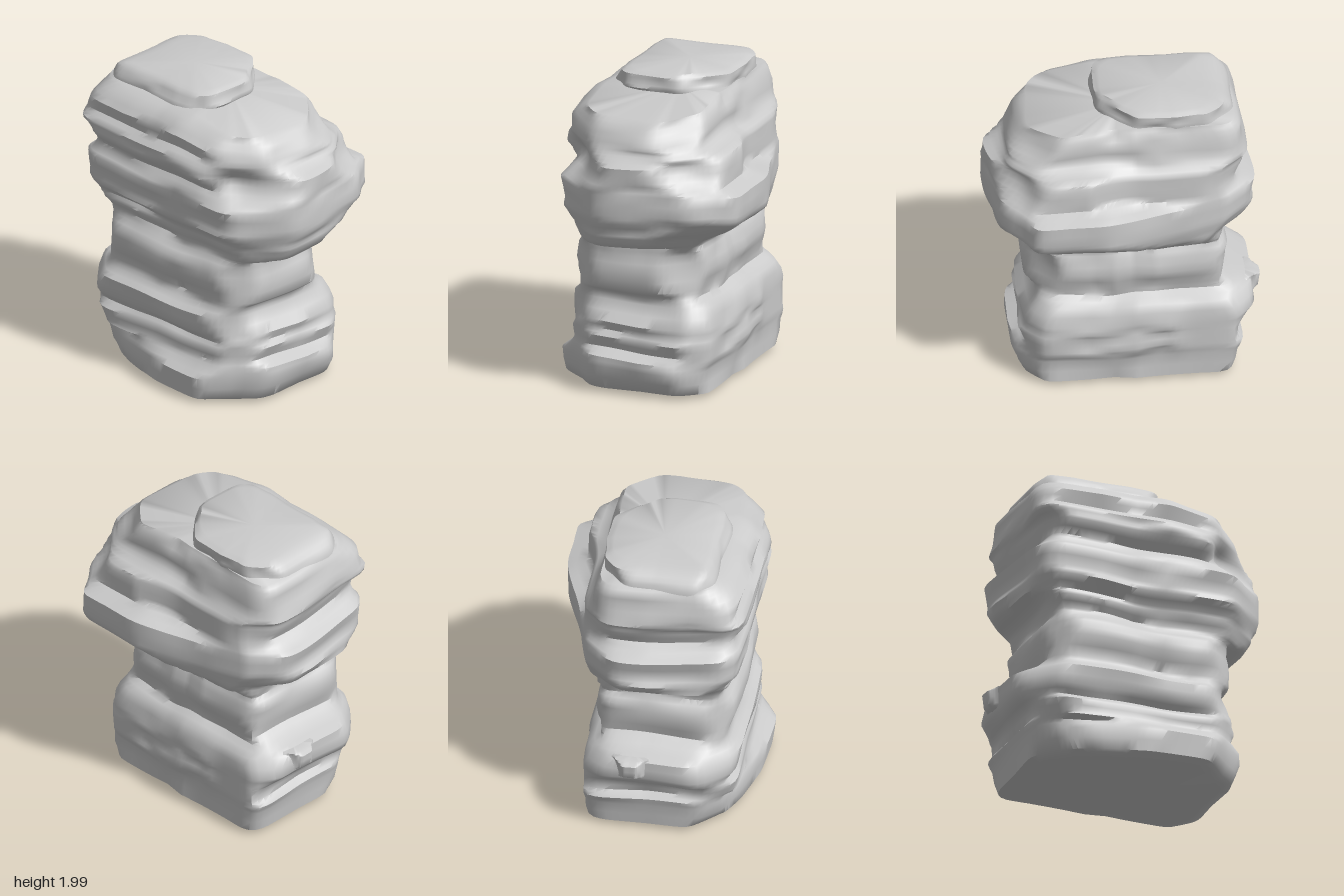
import * as THREE from 'three';
import { toCreasedNormals } from 'three/addons/utils/BufferGeometryUtils.js';

const SEG = 108, CELLS = 18;
const rnd = (k) => { const s = Math.sin(k * 12.9898 + 4.1) * 43758.5453; return s - Math.floor(s); };
const smooth = THREE.MathUtils.smoothstep;

// Strata outline: height, then reach towards -x, +x, -z, +z
const strata = [
  [0.01, 0.56, 0.52, 0.32, 0.52], [0.04, 0.70, 0.64, 0.40, 0.63], [0.19, 0.72, 0.71, 0.40, 0.66],
  [0.25, 0.75, 0.70, 0.42, 0.57], [0.29, 0.72, 0.63, 0.43, 0.55], [0.37, 0.74, 0.66, 0.43, 0.56],
  [0.41, 0.80, 0.63, 0.43, 0.52], [0.47, 0.84, 0.64, 0.43, 0.56], [0.59, 0.82, 0.56, 0.39, 0.57],
  [0.64, 0.70, 0.55, 0.31, 0.51], [0.69, 0.64, 0.61, 0.32, 0.49], [0.82, 0.67, 0.64, 0.36, 0.54],
  [0.92, 0.67, 0.60, 0.33, 0.54], [0.98, 0.62, 0.60, 0.31, 0.48], [1.02, 0.63, 0.76, 0.34, 0.47],
  [1.09, 0.66, 0.80, 0.46, 0.51], [1.13, 0.80, 0.82, 0.55, 0.51], [1.20, 0.83, 0.87, 0.63, 0.58],
  [1.26, 0.82, 0.88, 0.65, 0.57], [1.39, 0.84, 0.87, 0.66, 0.60], [1.43, 0.77, 0.87, 0.53, 0.57],
  [1.48, 0.73, 0.88, 0.52, 0.55], [1.57, 0.77, 0.87, 0.52, 0.63], [1.61, 0.78, 0.77, 0.51, 0.63],
  [1.65, 0.78, 0.73, 0.39, 0.62], [1.70, 0.77, 0.71, 0.36, 0.57], [1.79, 0.75, 0.69, 0.35, 0.59],
  [1.86, 0.74, 0.66, 0.33, 0.52], [1.90, 0.71, 0.58, 0.31, 0.44],
];
// Corner cuts: height, then reach towards (+x+z), (-x+z), (-x-z), (+x-z)
const corners = [
  [0.01, 0.63, 0.58, 0.64, 0.54], [0.05, 0.72, 0.72, 0.77, 0.66], [0.20, 0.74, 0.76, 0.79, 0.67],
  [0.50, 0.70, 0.84, 0.79, 0.66], [0.66, 0.69, 0.75, 0.68, 0.54], [0.92, 0.69, 0.74, 0.66, 0.52],
  [1.07, 0.74, 0.76, 0.64, 0.65], [1.22, 0.81, 0.94, 0.74, 0.90], [1.39, 0.81, 0.94, 0.74, 0.89],
  [1.50, 0.74, 0.87, 0.71, 0.74], [1.62, 0.73, 0.94, 0.73, 0.70], [1.80, 0.72, 0.88, 0.73, 0.55],
  [1.90, 0.65, 0.75, 0.68, 0.49],
];
// Raised slab on top, measured from its own centre
const slab = [
  [1.82, 0.45, 0.38, 0.34, 0.38], [1.90, 0.44, 0.44, 0.35, 0.38], [1.94, 0.42, 0.43, 0.35, 0.36],
  [1.98, 0.37, 0.42, 0.35, 0.33], [2.00, 0.28, 0.39, 0.30, 0.29],
];
const slabCorners = [[1.82, 0.50, 0.52, 0.46, 0.40], [1.98, 0.49, 0.49, 0.43, 0.37], [2.0, 0.42, 0.40, 0.36, 0.34]];

// Linear lookup in a table whose first column is height
function sample(table, y) {
  let i = 0;
  while (i < table.length - 2 && table[i + 1][0] < y) i++;
  const a = table[i], b = table[i + 1];
  const t = THREE.MathUtils.clamp((y - a[0]) / (b[0] - a[0]), 0, 1);
  return a.map((v, k) => v + (b[k] - v) * t);
}

// Radius of a softened eight-sided outline at angle a
function outline(side, corner, a) {
  const reach = [side[2], corner[1], side[4], corner[2], side[1], corner[3], side[3], corner[4]];
  const sum = reach.reduce((s, d, k) => s + Math.pow(Math.max(0, Math.cos(a - k * Math.PI / 4)) / d, 36), 0);
  return Math.pow(sum, -1 / 36);
}

// Chipped edges: random offsets joined by straight runs round each bed
function chip(bed, a) {
  const u = a / (Math.PI * 2) * CELLS, c = Math.floor(u);
  const v = (k) => rnd((k % CELLS) + bed * 37) - 0.5;
  return v(c) + (v(c + 1) - v(c)) * (u - c);
}

// Stack the beds into one closed, weathered surface
function rockGeometry(sides, cuts, cx, cz, rough, shape) {
  const rows = [];
  sides.forEach((row, i) => {
    rows.push([row[0], i]);
    if (i < sides.length - 1) rows.push([(row[0] + sides[i + 1][0]) / 2, i + 0.5]);
  });
  const pos = [], idx = [];
  for (const [y, bed] of rows) {
    const side = sample(sides, y), cut = sample(cuts, y);
    for (let j = 0; j < SEG; j++) {
      const a = j / SEG * Math.PI * 2;
      const chips = (chip(Math.floor(bed) + 1, a) + chip(Math.ceil(bed) + 1, a)) / 2;
      const r = outline(side, cut, a) + rough * (chips + 0.6 * chip(Math.floor(bed / 4) + 61, a));
      const p = new THREE.Vector3(cx + r * Math.cos(a), y, cz + r * Math.sin(a));
      shape(p, a);
      pos.push(p.x, p.y, p.z);
    }
  }
  for (let i = 0; i < rows.length - 1; i++) {
    for (let j = 0; j < SEG; j++) {
      const k = (j + 1) % SEG, lo = i * SEG, hi = lo + SEG;
      idx.push(lo + j, hi + j, lo + k, lo + k, hi + j, hi + k);
    }
  }
  // Close both ends
  const last = (rows.length - 1) * SEG, base = pos.length / 3;
  pos.push(cx, rows[0][0], cz, cx, rows[rows.length - 1][0], cz);
  for (let j = 0; j < SEG; j++) {
    const k = (j + 1) % SEG;
    idx.push(base, j, k, base + 1, last + k, last + j);
  }
  const g = new THREE.BufferGeometry();
  g.setAttribute('position', new THREE.Float32BufferAttribute(pos, 3));
  g.setIndex(idx);
  return toCreasedNormals(g, 0.95);
}

// Slanted faces, hollows, gentle dip of the beds, and shelf falling to the left
function weatherColumn(p, a) {
  const y = p.y;
  // Back face steps in towards the right
  const start = -0.45 + 0.35 * smooth(y, 1.38, 1.46);
  const limit = 0.40 + 0.25 * smooth(p.x, start, start + 0.65);
  if (-p.z > limit) p.z = -limit - (-p.z - limit) * 0.3;
  // Foot of the front face recedes towards the right
  const foot = 0.46 + 0.2 * smooth(p.x, -0.65, 0.2);
  if (y < 0.27 && p.z > foot) p.z = foot + (p.z - foot) * 0.25;
  // Sides of the widest beds slant inwards, left towards the back, right towards the front
  const wide = smooth(y, 1.08, 1.2) * (1 - smooth(y, 1.58, 1.64));
  if (p.x > 0) p.x -= 0.09 * wide * smooth(p.x, 0.5, 0.8) * smooth(-p.z, -0.2, 0.45);
  else p.x += 0.06 * wide * smooth(-p.x, 0.5, 0.75) * smooth(p.z, -0.1, 0.5);
  // Notch at the front left corner under the top beds
  const notch = 1 - 0.13 * Math.exp(-(((a - 0.72) / 0.22) ** 2) - ((y - 1.55) / 0.08) ** 2);
  p.x *= notch;
  p.z *= notch;
  const fade = smooth(y, 0.02, 0.3) * (1 - smooth(y, 1.6, 1.9));
  p.y += fade * (0.010 * Math.sin(2 * a + 2 * y) + 0.007 * Math.sin(5 * a - 3 * y));
  p.y -= 0.16 * Math.max(0, p.x - 0.15) * smooth(y, 1.6, 1.86);
}

export function createModel() {
  const group = new THREE.Group();
  group.name = 'layeredRock';
  const stone = new THREE.MeshStandardMaterial({ color: 0xcccccc });
  const add = (name, geometry) => {
    const mesh = new THREE.Mesh(geometry, stone);
    mesh.name = name;
    group.add(mesh);
  };

  add('rockColumn', rockGeometry(strata, corners, 0, 0, 0.028, weatherColumn));
  add('topSlab', rockGeometry(slab, slabCorners, -0.27, 0.05, 0.025, () => {}));

  // Small ledge jutting from the right-hand side near the base
  const ledgeSides = [[0.48, 0.08, 0.10, 0.10, 0.10], [0.51, 0.13, 0.13, 0.15, 0.15],
    [0.60, 0.14, 0.13, 0.15, 0.15], [0.62, 0.10, 0.10, 0.11, 0.11]];
  const ledgeCuts = [[0.48, 0.12, 0.12, 0.12, 0.12], [0.62, 0.13, 0.13, 0.13, 0.13]];
  add('sideLedge', rockGeometry(ledgeSides, ledgeCuts, -0.74, -0.08, 0.015, () => {}));
  return group;
}
